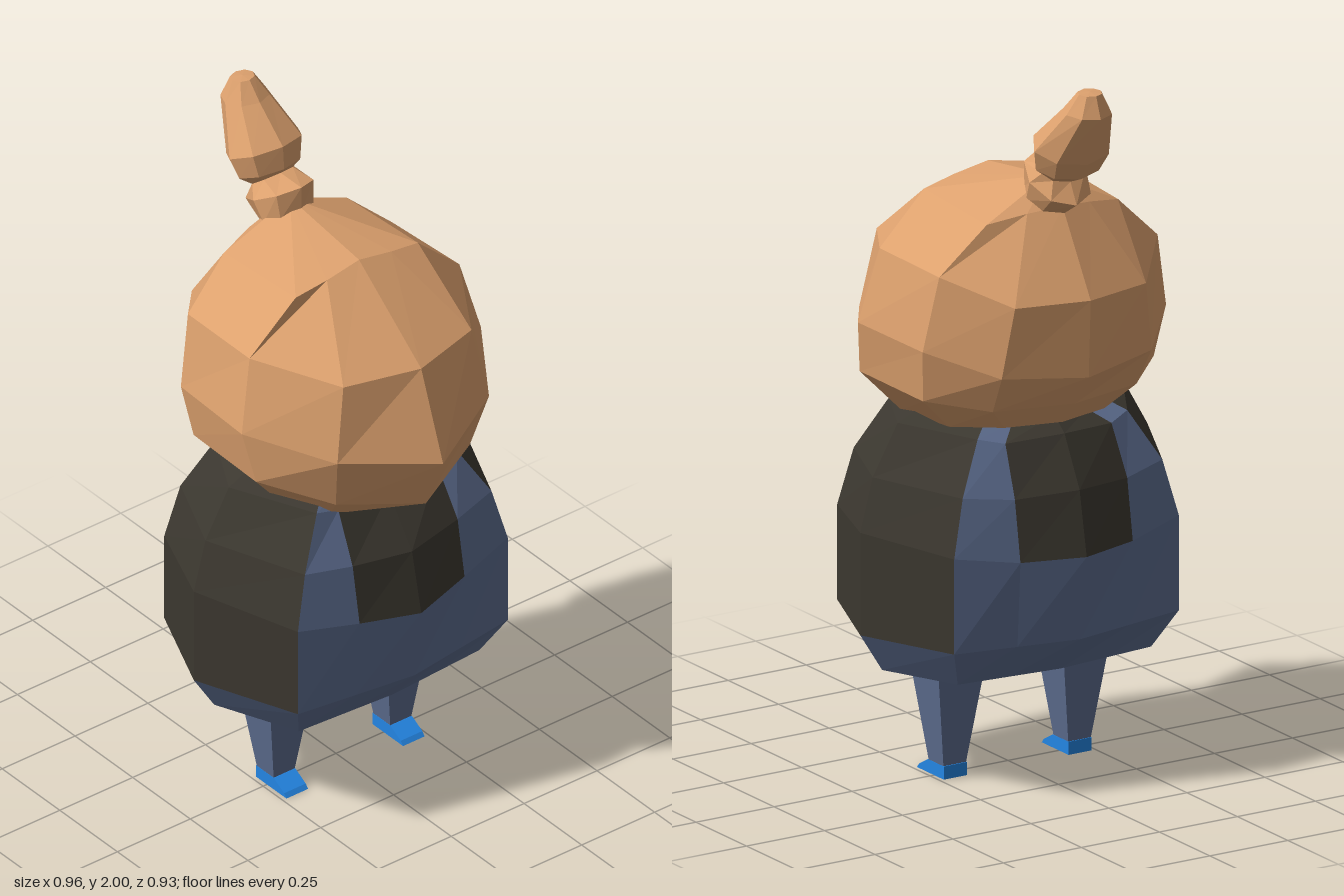
import * as THREE from 'three';

const material = (color) => new THREE.MeshStandardMaterial({ color, flatShading: true });

// Completes a half ring (front centre to back centre, on +x) by mirroring it.
const mirrorRing = (half) => [
  ...half,
  ...half.slice(1, -1).reverse().map(([x, y, z]) => [-x, y, z]),
];

// Skins stacked rings; keep(row, column) selects which panels are made.
function loft(rings, { keep = () => true, bottom = null, top = null } = {}) {
  const pos = [];
  const tri = (a, b, c) => pos.push(...a, ...b, ...c);
  const n = rings[0].length;
  for (let i = 0; i < rings.length - 1; i++) {
    for (let j = 0; j < n; j++) {
      if (!keep(i, j)) continue;
      const k = (j + 1) % n;
      const [a, b, c, d] = [rings[i][j], rings[i][k], rings[i + 1][k], rings[i + 1][j]];
      tri(a, b, c);
      tri(a, c, d);
    }
  }
  const last = rings[rings.length - 1];
  for (let j = 0; j < n; j++) {
    const k = (j + 1) % n;
    if (bottom) tri(bottom, rings[0][k], rings[0][j]);
    if (top) tri(top, last[j], last[k]);
  }
  const g = new THREE.BufferGeometry();
  g.setAttribute('position', new THREE.Float32BufferAttribute(pos, 3));
  g.computeVertexNormals();
  return g;
}

// Rectangular ring at height y (the front edge may sit at its own z).
const rect = (y, x0, x1, back, front) => [
  [x0, y, front], [x1, y, front], [x1, y, back], [x0, y, back],
];

export function createModel() {
  const model = new THREE.Group();
  const skin = material(0xdda16e);
  const blue = material(0x5e6e90);
  const dark = material(0x3c3830);
  const shoe = material(0x2486e4);
  const add = (name, geometry, mat, parent = model) => {
    const mesh = new THREE.Mesh(geometry, mat);
    mesh.name = name;
    parent.add(mesh);
    return mesh;
  };

  // Body rings: [front y, side y, side x, corner x, corner z, mid x, front z, back z]
  const bodyRings = [
    [0.33, 0.33, 0.41, 0.31, 0.23, 0.155, 0.25, -0.26],
    [0.44, 0.44, 0.48, 0.36, 0.29, 0.18, 0.34, -0.36],
    [0.66, 0.73, 0.48, 0.36, 0.29, 0.18, 0.37, -0.39],
    [0.84, 0.88, 0.44, 0.32, 0.27, 0.18, 0.33, -0.355],
    [0.98, 1.02, 0.36, 0.24, 0.22, 0.17, 0.23, -0.28],
    [1.02, 1.05, 0.29, 0.19, 0.18, 0.12, 0.19, -0.23],
  ].map(([fy, sy, sx, cx, cz, mx, f, b]) => {
    const my = fy + (sy - fy) * 0.3, cy = fy + (sy - fy) * 0.7;
    return mirrorRing([
      [0, fy, f], [mx, my, (f + cz) / 2], [cx, cy, cz],
      [sx, sy, -0.01],
      [cx, cy, -cz], [mx, my, (b - cz) / 2], [0, fy + 0.02 * (sy > fy), b],
    ]);
  });
  // Dark panels: both sides above the hem, plus a bib at front and back
  const isDark = (i, j) =>
    (i >= 1 && [2, 3, 8, 9].includes(j)) || (i >= 2 && [0, 5, 6, 11].includes(j));
  add('bodyCloth', loft(bodyRings, {
    keep: (i, j) => !isDark(i, j), bottom: [0, 0.33, 0], top: [0, 1.05, 0],
  }), blue);
  add('bodyDarkPanels', loft(bodyRings, { keep: isDark }), dark);

  // Head: faceted, leaning backwards at the top
  const headRings = [
    [[0, 0.94, 0.24], [0.18, 0.97, 0.2], [0.29, 1.02, 0.08], [0.28, 1.03, -0.14], [0.16, 1.03, -0.23], [0, 1.03, -0.27]],
    [[0, 1.03, 0.39], [0.23, 1.07, 0.29], [0.385, 1.13, 0.14], [0.37, 1.12, -0.15], [0.23, 1.1, -0.28], [0, 1.1, -0.335]],
    [[0, 1.2, 0.465], [0.26, 1.24, 0.335], [0.41, 1.28, 0.11], [0.39, 1.27, -0.18], [0.24, 1.21, -0.34], [0, 1.19, -0.4]],
    [[0, 1.46, 0.37], [0.22, 1.46, 0.31], [0.36, 1.49, 0.08], [0.35, 1.48, -0.2], [0.21, 1.41, -0.36], [0, 1.41, -0.41]],
    [[0, 1.67, 0.1], [0.11, 1.65, 0.1], [0.21, 1.63, 0.09], [0.21, 1.61, -0.22], [0.1, 1.63, -0.25], [0, 1.64, -0.27]],
  ].map(mirrorRing);
  add('head', loft(headRings, { bottom: [0, 0.95, 0], top: [0, 1.71, -0.2] }), skin);

  // Topknot rings: [front z, front y, back z, back y, half width]
  const knotRings = [
    [-0.17, 1.67, -0.25, 1.62, 0.06],
    [-0.15, 1.69, -0.275, 1.62, 0.08],
    [-0.15, 1.77, -0.34, 1.66, 0.09],
    [-0.24, 1.77, -0.31, 1.72, 0.07],
    [-0.225, 1.79, -0.36, 1.74, 0.1],
    [-0.23, 1.86, -0.395, 1.79, 0.118],
    [-0.33, 1.95, -0.46, 1.935, 0.068],
    [-0.375, 2.0, -0.437, 1.995, 0.035],
  ].map(([fz, fy, bz, by, w]) => Array.from({ length: 8 }, (_, i) => {
    const a = (i * Math.PI) / 4, c = Math.cos(a) / 2;
    return [w * Math.sin(a), (fy + by) / 2 + (fy - by) * c, (fz + bz) / 2 + (fz - bz) * c];
  }));
  add('topknot', loft(knotRings, { bottom: [0, 1.65, -0.21], top: [0, 2, -0.406] }), skin);

  // Tapered legs and wedge feet
  for (const [side, s] of [['left', 1], ['right', -1]]) {
    const x = 0.2 * s;
    const limb = new THREE.Group();
    limb.name = `${side}LegAndFoot`;
    model.add(limb);
    add(`${side}Leg`, loft([
      rect(0.035, x - 0.036, x + 0.036, -0.045, 0.028),
      rect(0.35, x - 0.08, x + 0.08, -0.085, 0.065),
    ], { bottom: [x, 0.035, 0], top: [x, 0.35, 0] }), blue, limb);
    add(`${side}Foot`, loft([
      rect(0, x - 0.037, x + 0.037, -0.048, 0.085),
      rect(0.012, x - 0.037, x + 0.037, -0.048, 0.075),
      rect(0.037, x - 0.037, x + 0.037, -0.048, 0.03),
    ], { bottom: [x, 0, 0], top: [x, 0.037, 0] }), shoe, limb);
  }
  return model;
}
